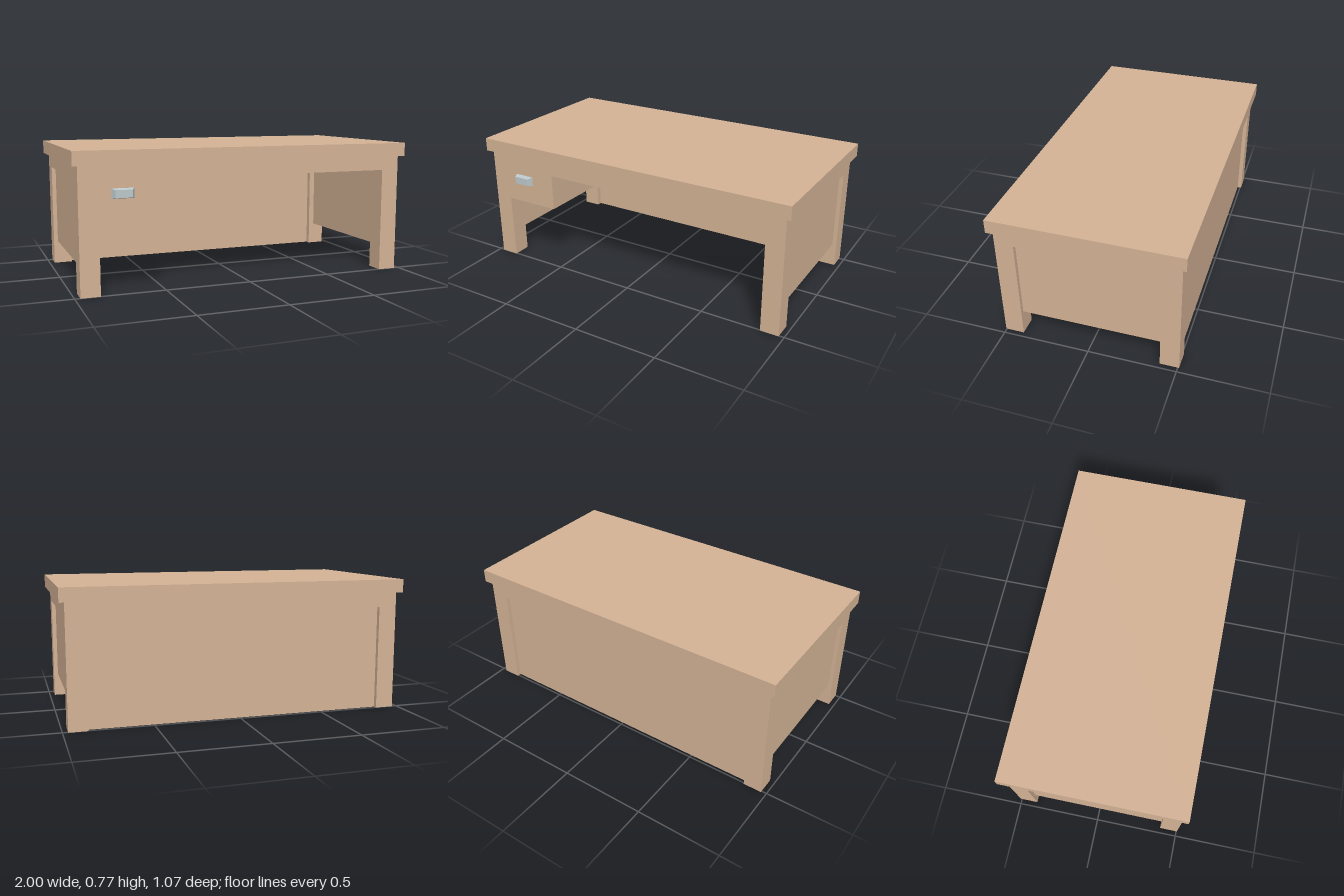
import * as THREE from 'three';

const wood = new THREE.MeshStandardMaterial({ color: 0xd3b295, flatShading: true });
const metal = new THREE.MeshStandardMaterial({ color: 0xbcc8cc, flatShading: true });

// Box given by its extents on each axis
function block(name, [x0, x1], [y0, y1], [z0, z1], material = wood) {
  const mesh = new THREE.Mesh(new THREE.BoxGeometry(x1 - x0, y1 - y0, z1 - z0), material);
  mesh.position.set((x0 + x1) / 2, (y0 + y1) / 2, (z0 + z1) / 2);
  mesh.name = name;
  return mesh;
}

export function createModel() {
  const desk = new THREE.Group();
  desk.name = 'desk';

  const outX = 0.97, inX = 0.862;          // leg faces across the width
  const front = 0.505, back = -0.508;      // leg faces across the depth
  const leg = 0.108, apronY = 0.613, topY = 0.696;

  // Top and the solid apron beneath it
  desk.add(block('tabletop', [-1, 1], [topY, 0.775], [-0.533, 0.53]));
  desk.add(block('apron', [-outX, outX], [apronY, topY], [back, front]));

  // Legs and recessed side panels, mirrored left and right
  for (const [side, s] of [['left', 1], ['right', -1]]) {
    const span = (a, b) => (s > 0 ? [a, b] : [-b, -a]);
    desk.add(block(side + 'FrontLeg', span(inX, outX), [0, apronY], [front - leg, front]));
    desk.add(block(side + 'BackLeg', span(inX, outX), [0, apronY], [back, back + leg]));
    desk.add(block(side + 'Panel', span(0.897, 0.946), [0.14, apronY], [back + leg, front - leg]));
  }

  // Back panel down to the floor, set in slightly
  desk.add(block('backPanel', [-inX, inX], [0, apronY], [back + 0.025, back + 0.075]));

  // Drawer case on the model's right
  const drawerY = [0.397, apronY];
  desk.add(block('drawerCase', [-0.897, -0.52], drawerY, [back + leg, front - leg]));
  desk.add(block('drawerCaseRear', [-inX, -0.52], drawerY, [back + 0.075, back + leg]));
  desk.add(block('drawerFront', [-inX, -0.52], drawerY, [front - leg, front]));

  // Drawer pull, tapering towards its outer face
  const pull = block('drawerPull', [-0.795, -0.672], [0.518, 0.573], [front, 0.535], metal);
  const p = pull.geometry.attributes.position;
  for (let i = 0; i < p.count; i++) {
    if (p.getZ(i) > 0) p.setXY(i, p.getX(i) * 0.76, p.getY(i) * 0.77);
  }
  pull.geometry.computeVertexNormals();
  desk.add(pull);

  return desk;
}
